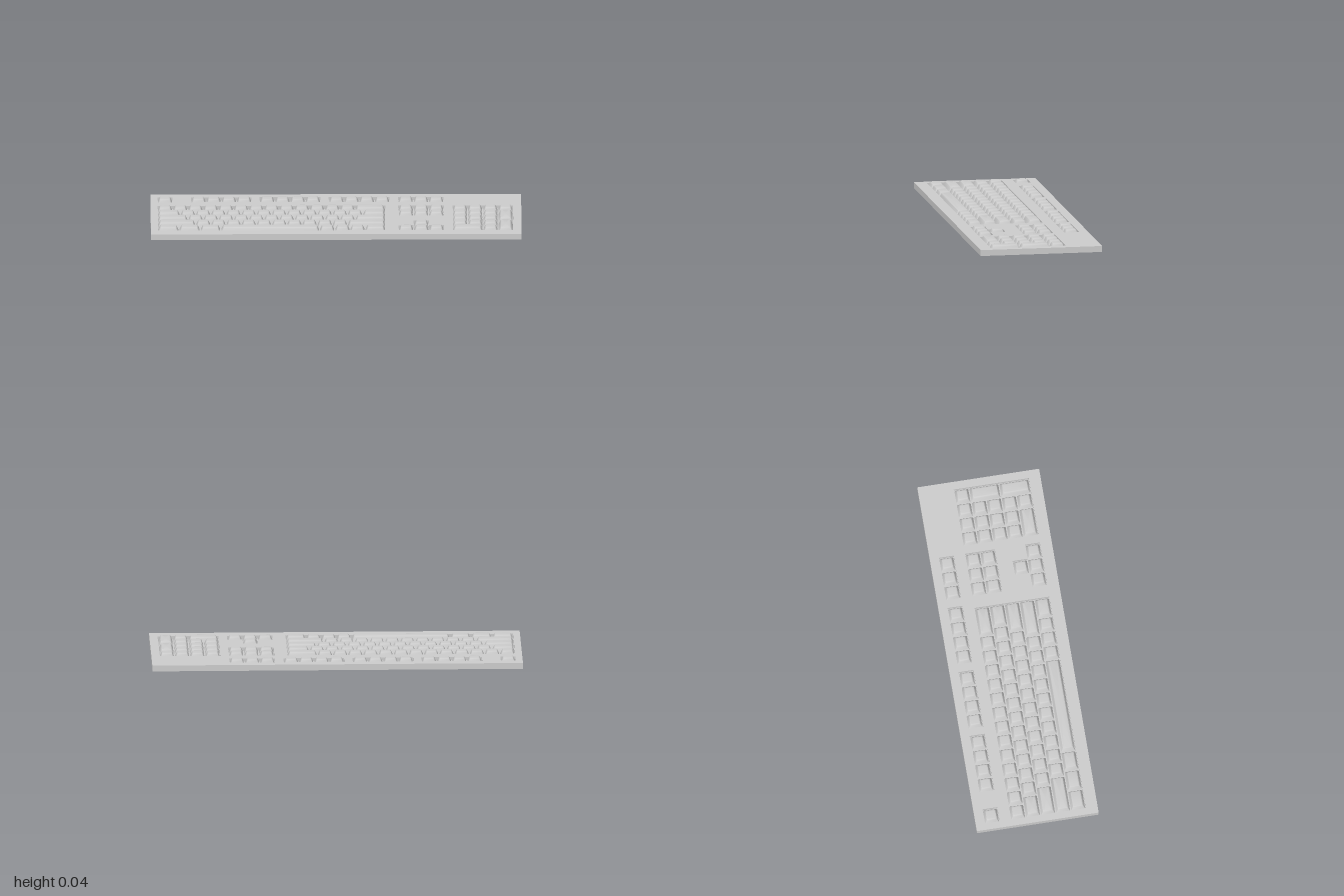
import * as THREE from 'three';
import { toCreasedNormals } from 'three/addons/utils/BufferGeometryUtils.js';

const U = 0.082;        // key pitch
const FLOOR = 0.015;    // bottom of the key wells
const DECK = 0.0325;    // top of the case
const W = 2, D = 0.666;

// Left edge and back edge of each key block
const MAIN_X = -0.963, NAV_X = 0.336, PAD_X = 0.628;
const ROW_Z = -0.141, TOP_Z = -0.284;

const material = new THREE.MeshStandardMaterial({ color: 0xcccccc });

// Keycap profile: inset from the cell edge, height
const PROFILE = [
  [0.003, FLOOR], [0.0095, 0.032], [0.0125, 0.039],
  [0.0145, 0.0425], [0.0175, 0.0442], [0.021, 0.0447],
];

// Rounded rectangle loop, counter-clockwise seen from above
function loop(w, d, r) {
  const points = [];
  const corners = [[1, -1], [-1, -1], [-1, 1], [1, 1]];
  corners.forEach(([sx, sz], c) => {
    for (let i = 0; i <= 4; i++) {
      const a = (c + i / 4) * Math.PI / 2;
      points.push([sx * (w / 2 - r) + r * Math.cos(a), sz * (d / 2 - r) - r * Math.sin(a)]);
    }
  });
  return points;
}

// Tapered keycap lofted through the profile and closed on top
function keyGeometry(w, d) {
  const positions = [], index = [];
  PROFILE.forEach(([inset, y]) => {
    for (const [x, z] of loop(w - 2 * inset, d - 2 * inset, 0.006)) positions.push(x, y, z);
  });
  const n = positions.length / 3 / PROFILE.length;
  for (let k = 0; k < PROFILE.length - 1; k++) {
    for (let i = 0; i < n; i++) {
      const a = k * n + i, b = k * n + (i + 1) % n;
      index.push(a, b, b + n, a, b + n, a + n);
    }
  }
  const top = (PROFILE.length - 1) * n;
  positions.push(0, PROFILE[PROFILE.length - 1][1], 0);
  for (let i = 0; i < n; i++) index.push(top + i, top + (i + 1) % n, top + n);
  const g = new THREE.BufferGeometry();
  g.setAttribute('position', new THREE.Float32BufferAttribute(positions, 3));
  g.setIndex(index);
  return toCreasedNormals(g, 0.6);
}

// Closed outline from x, z corners; the plate is drawn flat with y = -z
function outline(points, Type) {
  return new Type(points.map(([x, z]) => new THREE.Vector2(x, -z)));
}
const rect = (x, z, w, d) => [[x, z], [x, z + d], [x + w, z + d], [x + w, z]];

export function createModel() {
  const model = new THREE.Group();
  model.name = 'keyboard';
  const cache = new Map();

  function block(name) {
    const group = new THREE.Group();
    group.name = name;
    model.add(group);
    return group;
  }

  // One key, by its back left corner and its size in key units
  function addKey(group, name, x, z, w = 1, d = 1) {
    const id = `${w},${d}`;
    if (!cache.has(id)) cache.set(id, keyGeometry(w * U, d * U));
    const key = new THREE.Mesh(cache.get(id), material);
    key.name = name;
    key.position.set(x + w * U / 2, 0, z + d * U / 2);
    group.add(key);
  }

  function addRow(group, name, x, z, widths) {
    for (const w of widths) {
      addKey(group, name, x, z, w);
      x += w * U;
    }
  }
  const ones = (n) => Array(n).fill(1);

  // Case: solid base, and a top plate with wells cut through it
  const base = new THREE.Mesh(new THREE.BoxGeometry(W, FLOOR, D), material);
  base.name = 'caseBase';
  base.position.y = FLOOR / 2;
  model.add(base);

  const topBlocks = [[MAIN_X, 1], [-0.782, 4], [-0.411, 4], [-0.038, 4], [NAV_X, 3]];
  const arrowZ = ROW_Z + 3 * U;
  const wells = [
    ...topBlocks.map(([x, n]) => rect(x, TOP_Z, n * U, U)),
    rect(MAIN_X, ROW_Z, 15 * U, 5 * U),
    rect(NAV_X, ROW_Z, 3 * U, 2 * U),
    rect(PAD_X, ROW_Z, 4 * U, 5 * U),
    // T-shaped well of the arrow keys
    [[1, 0], [1, 1], [0, 1], [0, 2], [3, 2], [3, 1], [2, 1], [2, 0]]
      .map(([i, j]) => [NAV_X + i * U, arrowZ + j * U]),
  ];
  const plateShape = outline(rect(-W / 2, -D / 2, W, D), THREE.Shape);
  plateShape.holes = wells.map((w) => outline(w, THREE.Path));
  const plateGeometry = new THREE.ExtrudeGeometry(plateShape, { depth: DECK - FLOOR, bevelEnabled: false });
  plateGeometry.rotateX(-Math.PI / 2);
  const plate = new THREE.Mesh(plateGeometry, material);
  plate.name = 'caseTop';
  plate.position.y = FLOOR;
  model.add(plate);

  // Separate row along the back
  const topKeys = block('topRowKeys');
  topBlocks.forEach(([x, n]) => addRow(topKeys, 'topRowKey', x, TOP_Z, ones(n)));

  // Main block, staggered by half a key per row
  const mainKeys = block('mainKeys');
  [
    [...ones(13), 2],
    [1.5, ...ones(12), 1.5],
    [2, ...ones(11), 2],
    [2.5, ...ones(10), 2.5],
    [1.4, 1.4, 1.35, 6.5, 1, 1, 1, 1.35],
  ].forEach((widths, r) => addRow(mainKeys, 'mainKey', MAIN_X, ROW_Z + r * U, widths));

  // Navigation and arrow keys
  const navigationKeys = block('navigationKeys');
  for (let r = 0; r < 2; r++) addRow(navigationKeys, 'navigationKey', NAV_X, ROW_Z + r * U, ones(3));
  const arrowKeys = block('arrowKeys');
  addKey(arrowKeys, 'arrowKey', NAV_X + U, arrowZ);
  addRow(arrowKeys, 'arrowKey', NAV_X, arrowZ + U, ones(3));

  // Number pad with two tall keys and one wide key
  const numberPad = block('numberPad');
  [ones(4), ones(3), ones(3), ones(3), [2, 1]]
    .forEach((widths, r) => addRow(numberPad, 'numberKey', PAD_X, ROW_Z + r * U, widths));
  for (const r of [1, 3]) addKey(numberPad, 'tallKey', PAD_X + 3 * U, ROW_Z + r * U, 1, 2);

  return model;
}
